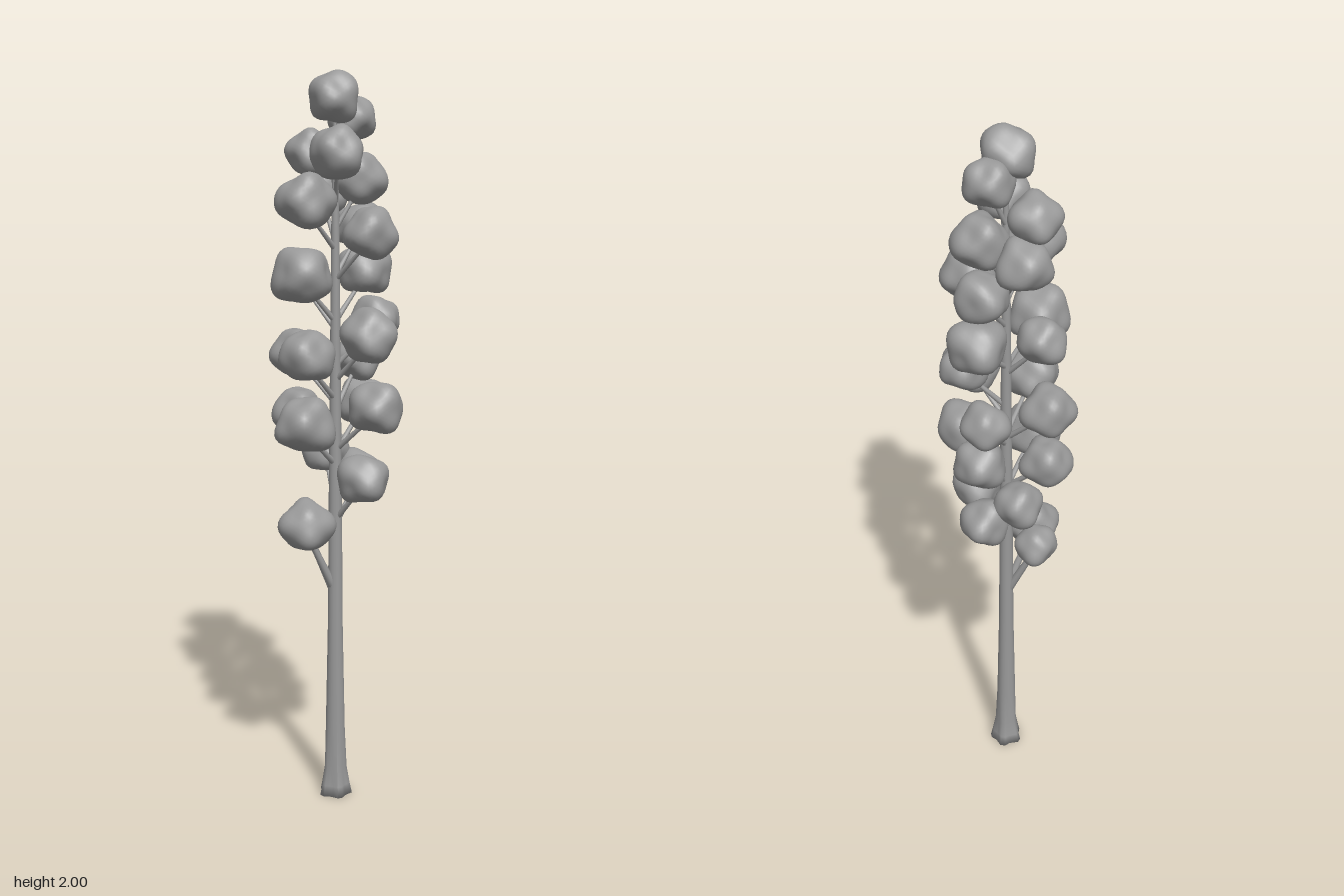
import * as THREE from 'three';
import { mergeVertices } from 'three/addons/utils/BufferGeometryUtils.js';

const grey = new THREE.MeshStandardMaterial({ color: 0x999999 });
grey.name = 'plain grey';

function add(group, geometry, name) {
  const mesh = new THREE.Mesh(geometry, grey);
  mesh.name = name;
  group.add(mesh);
  return mesh;
}

// Leaf clumps: x, y, z, radius
const clumps = [
  [-0.005, 1.93, 0.01, 0.066], [0.05, 1.88, -0.03, 0.06],
  [-0.055, 1.79, -0.06, 0.06], [-0.01, 1.79, 0.09, 0.067],
  [0.07, 1.725, -0.015, 0.066], [-0.09, 1.67, 0.075, 0.07],
  [-0.02, 1.69, -0.095, 0.066], [0.077, 1.59, 0.085, 0.066],
  [0.075, 1.6, -0.065, 0.063], [-0.095, 1.48, 0.045, 0.075],
  [-0.075, 1.46, -0.07, 0.06], [0.095, 1.48, -0.09, 0.07],
  [0.108, 1.36, 0.015, 0.06], [0.075, 1.32, 0.085, 0.07],
  [-0.09, 1.27, 0.085, 0.068], [-0.09, 1.26, -0.085, 0.065],
  [0.075, 1.24, -0.09, 0.06], [-0.097, 1.09, 0.09, 0.074],
  [-0.09, 1.1, -0.085, 0.063], [0.094, 1.13, 0.085, 0.07],
  [0.09, 1.12, -0.085, 0.066], [-0.01, 0.98, -0.1, 0.06],
  [0.062, 0.935, 0.08, 0.066], [0.078, 0.92, -0.075, 0.063],
  [-0.085, 0.8, 0.035, 0.068], [-0.075, 0.79, -0.045, 0.055],
];

// Trunk radius by height
const profile = [[0, 0.043], [0.03, 0.038], [0.08, 0.031], [0.2, 0.027], [0.5, 0.021],
  [0.9, 0.018], [1.3, 0.014], [1.6, 0.011], [1.92, 0.005]];

function makeTrunk() {
  const points = profile.map(([y, r]) => new THREE.Vector2(r, y));
  points.unshift(new THREE.Vector2(0, 0));
  const g = new THREE.LatheGeometry(points, 20);
  const p = g.attributes.position;
  // root lobes that fade out upwards
  for (let i = 0; i < p.count; i++) {
    const a = Math.atan2(p.getZ(i), p.getX(i));
    const k = 1 + 0.14 * Math.sin(a * 5 + 0.6) * Math.max(0, 1 - p.getY(i) / 0.15);
    p.setX(i, p.getX(i) * k);
    p.setZ(i, p.getZ(i) * k);
  }
  g.computeVertexNormals();
  return g;
}

// Rounded lumpy clump, a little pointed towards the top
function makeClump(r, seed) {
  let g = new THREE.IcosahedronGeometry(1, 6);
  g.deleteAttribute('uv');
  g.deleteAttribute('normal');
  g = mergeVertices(g, 1e-4);
  const p = g.attributes.position;
  const v = new THREE.Vector3();
  for (let i = 0; i < p.count; i++) {
    v.fromBufferAttribute(p, i);
    const lump = Math.sin(v.x * 3.6 + seed * 1.7) * Math.sin(v.y * 3.9 + seed * 2.3)
      + Math.sin(v.z * 4.1 + seed * 0.9) * Math.cos(v.x * 3.3 - seed);
    const waist = 1.04 - 0.1 * v.y;
    v.multiplyScalar(r * (1 + 0.09 * lump));
    p.setXYZ(i, v.x * waist, v.y, v.z * waist);
  }
  g.computeVertexNormals();
  return g;
}

// Tapered limb between two points
function addLimb(group, from, to, r0, r1) {
  const d = to.clone().sub(from);
  const limb = add(group, new THREE.CylinderGeometry(r1, r0, d.length(), 8), 'branch');
  limb.position.copy(from).addScaledVector(d, 0.5);
  limb.quaternion.setFromUnitVectors(new THREE.Vector3(0, 1, 0), d.normalize());
}

export function createModel() {
  const tree = new THREE.Group();
  tree.name = 'tree';
  add(tree, makeTrunk(), 'trunk');

  const branches = new THREE.Group();
  branches.name = 'branches';
  const foliage = new THREE.Group();
  foliage.name = 'foliage';
  tree.add(branches, foliage);

  clumps.forEach(([x, y, z, r], i) => {
    const clump = add(foliage, makeClump(r, i + 1), 'leafClump');
    clump.position.set(x, y, z);
    if (i === 0) return; // the trunk itself carries the crown
    const drop = y < 0.85 ? 0.2 : 0.13;
    const thick = y < 0.85 ? 0.013 : 0.009 - 0.002 * (y - 0.9);
    addLimb(branches, new THREE.Vector3(0, y - drop, 0), new THREE.Vector3(x, y - 0.02, z), thick, thick * 0.55);
  });
  return tree;
}
